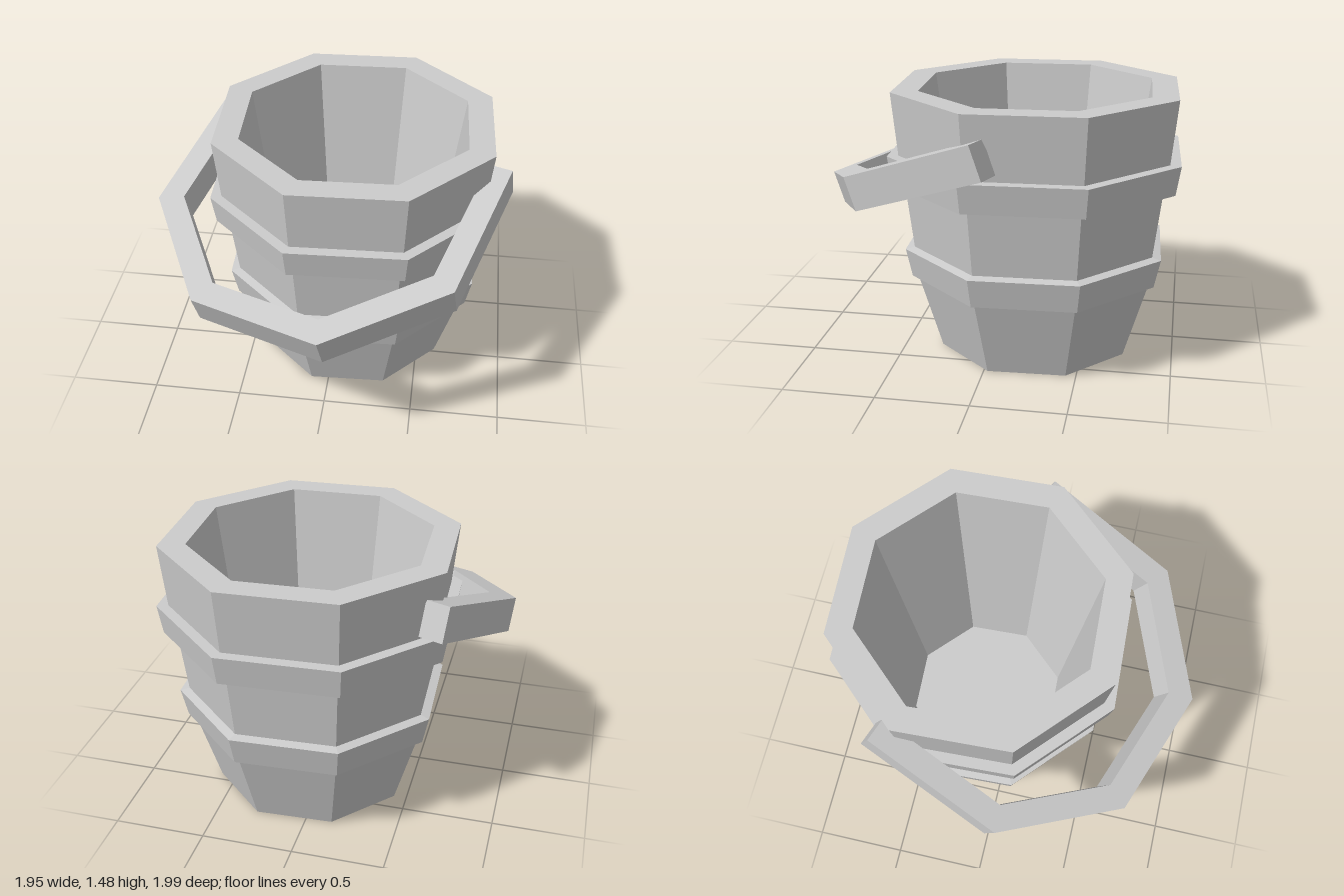
import * as THREE from 'three';

const PHASE = THREE.MathUtils.degToRad(25);
const CX = 0.09, CZ = -0.21; // bucket axis

const material = new THREE.MeshStandardMaterial({ color: 0xcccccc, flatShading: true });

function addMesh(parent, name, geometry) {
  const mesh = new THREE.Mesh(geometry, material);
  mesh.name = name;
  parent.add(mesh);
  return mesh;
}

// Eight-sided ring from a closed [radius, height] profile, outside running upward
function octagonRing(profile) {
  const points = [...profile, profile[0]].map(([r, y]) => new THREE.Vector2(r, y));
  return new THREE.LatheGeometry(points, 8, PHASE, Math.PI * 2);
}

// Tilted bail: most of a half octagon swept with a square-cornered bar
function handleGeometry() {
  const v = (x, y, z) => new THREE.Vector3(x, y, z);
  // Edges of a regular octagon lying in the tilted plane
  const edges = [v(-0.237, -0.247, 0.648), v(0.32, -0.175, 0.635)];
  for (let i = 2; i < 5; i++) {
    edges.push(edges[i - 1].clone().multiplyScalar(Math.SQRT2).sub(edges[i - 2]));
  }
  const down = v(0.02, -0.175, -0.065);

  // Outer corners, with both end edges slightly longer
  const outer = [v(-0.975, 1.085, 0.11).addScaledVector(edges[0], -1.1)];
  edges.forEach((e, i) => {
    outer.push(outer[i].clone().addScaledVector(e, i === 0 || i === 4 ? 1.1 : 1));
  });

  const sections = outer.map((p, i) => {
    const inward = v(0, 0, 0);
    if (i === 0) inward.copy(edges[2]).multiplyScalar(0.183);
    else if (i === 5) inward.copy(edges[2]).multiplyScalar(-0.183);
    else inward.subVectors(edges[i], edges[i - 1]).multiplyScalar(0.26);
    const inner = p.clone().add(inward);
    return [p, p.clone().add(down), inner.clone().add(down), inner];
  });

  const positions = [];
  const quad = (a, b, c, d) => [a, b, c, a, c, d].forEach((p) => positions.push(p.x, p.y, p.z));
  for (let i = 0; i < sections.length - 1; i++) {
    const s = sections[i], t = sections[i + 1];
    for (let j = 0; j < 4; j++) {
      const k = (j + 1) % 4;
      quad(s[j], s[k], t[k], t[j]);
    }
  }
  const [a, b, c, d] = sections[0];
  quad(a, d, c, b);
  quad(...sections[sections.length - 1]);

  const geometry = new THREE.BufferGeometry();
  geometry.setAttribute('position', new THREE.Float32BufferAttribute(positions, 3));
  geometry.computeVertexNormals();
  return geometry;
}

export function createModel() {
  const model = new THREE.Group();
  model.name = 'bucket';

  const body = new THREE.Group();
  body.name = 'bucketBody';
  body.position.set(CX, 0, CZ);
  model.add(body);

  // Thick tapering wall
  addMesh(body, 'wall', octagonRing([
    [0.447, 0], [0.553, 0], [0.686, 0.44], [0.702, 0.61],
    [0.745, 0.96], [0.777, 1.135], [0.812, 1.48], [0.663, 1.48],
  ]));

  // Floor, recessed above the foot
  const floor = addMesh(body, 'floor',
    new THREE.CylinderGeometry(0.463, 0.459, 0.03, 8, 1, false, PHASE));
  floor.position.y = 0.085;

  // Two hoops around the wall
  addMesh(body, 'lowerHoop', octagonRing([
    [0.66, 0.44], [0.718, 0.44], [0.753, 0.6], [0.702, 0.61], [0.66, 0.61],
  ]));
  addMesh(body, 'upperHoop', octagonRing([
    [0.72, 0.96], [0.745, 0.96], [0.814, 0.975], [0.84, 1.135], [0.72, 1.135],
  ]));

  addMesh(model, 'handle', handleGeometry());
  return model;
}
